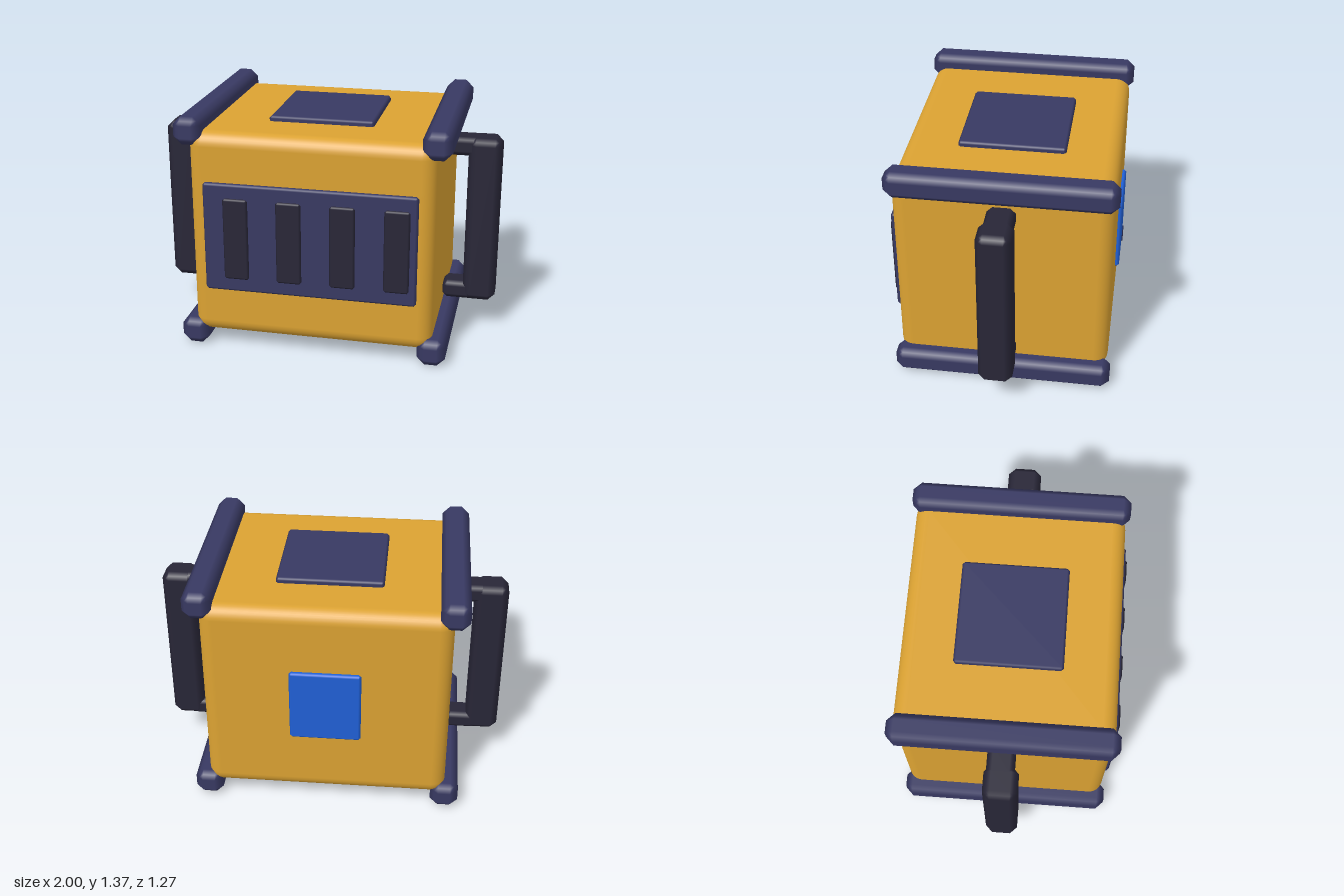
import * as THREE from 'three';
import { RoundedBoxGeometry } from 'three/addons/geometries/RoundedBoxGeometry.js';

const material = (color) => new THREE.MeshStandardMaterial({ color });

// Box with a single chamfer of width r on every edge, softly shaded across the chamfers
function chamferBox(w, h, d, r) {
  const geometry = new THREE.BoxGeometry(1, 1, 1, 3, 3, 3);
  const pos = geometry.attributes.position;
  const half = [w / 2 - r, h / 2 - r, d / 2 - r];
  for (let i = 0; i < pos.count; i++) {
    const v = [pos.getX(i), pos.getY(i), pos.getZ(i)];
    const n = v.map((c) => (Math.abs(c) > 0.4 ? Math.sign(c) : 0));
    const sum = n.reduce((s, c) => s + Math.abs(c), 0);
    const p = v.map((c, k) => Math.sign(c) * half[k] + (r * n[k]) / sum);
    pos.setXYZ(i, ...p);
    geometry.attributes.normal.setXYZ(i, ...n.map((c) => c / Math.sqrt(sum)));
  }
  return geometry;
}

export function createModel() {
  const model = new THREE.Group();
  const cz = -0.0075;
  const yellow = material(0xdba232);
  const navy = material(0x383962);
  const dark = material(0x282637);
  const blue = material(0x2060d6);

  function add(name, geometry, mat, x, y, z, parent = model) {
    const mesh = new THREE.Mesh(geometry, mat);
    mesh.name = name;
    mesh.position.set(x, y, z);
    parent.add(mesh);
    return mesh;
  }

  // Main crate
  add('body', new RoundedBoxGeometry(1.38, 1.205, 1.205, 4, 0.08), yellow, 0, 0.6875, cz);

  // Rails along the four long edges
  const rail = chamferBox(0.16, 0.16, 1.245, 0.045);
  for (const x of [-0.69, 0.69])
    for (const y of [0.08, 1.29]) add('edgeRail', rail, navy, x, y, cz);

  // Raised panels on top, front and back
  add('topPanel', chamferBox(0.6, 0.06, 0.6, 0.014), navy, 0, 1.29, -0.01);
  add('frontPanel', chamferBox(1.205, 0.64, 0.06, 0.014), navy, 0, 0.69, 0.59);
  add('backPanel', chamferBox(0.4, 0.44, 0.06, 0.014), blue, 0, 0.69, -0.603);

  // Vent slats on the front panel
  const slat = chamferBox(0.142, 0.48, 0.05, 0.012);
  for (let i = 0; i < 4; i++) add('ventSlat', slat, dark, -0.415 + i * 0.302, 0.69, 0.61);

  // Side handles: upright grip on two short arms
  const grip = chamferBox(0.19, 1, 0.19, 0.04);
  const arm = chamferBox(0.2, 0.11, 0.155, 0.03);
  for (const side of [-1, 1]) {
    const handle = new THREE.Group();
    handle.name = side > 0 ? 'leftHandle' : 'rightHandle';
    model.add(handle);
    add('grip', grip, dark, side * 0.905, 0.69, -0.007, handle);
    for (const y of [0.24, 1.135]) add('handleArm', arm, dark, side * 0.785, y, -0.012, handle);
  }
  return model;
}
